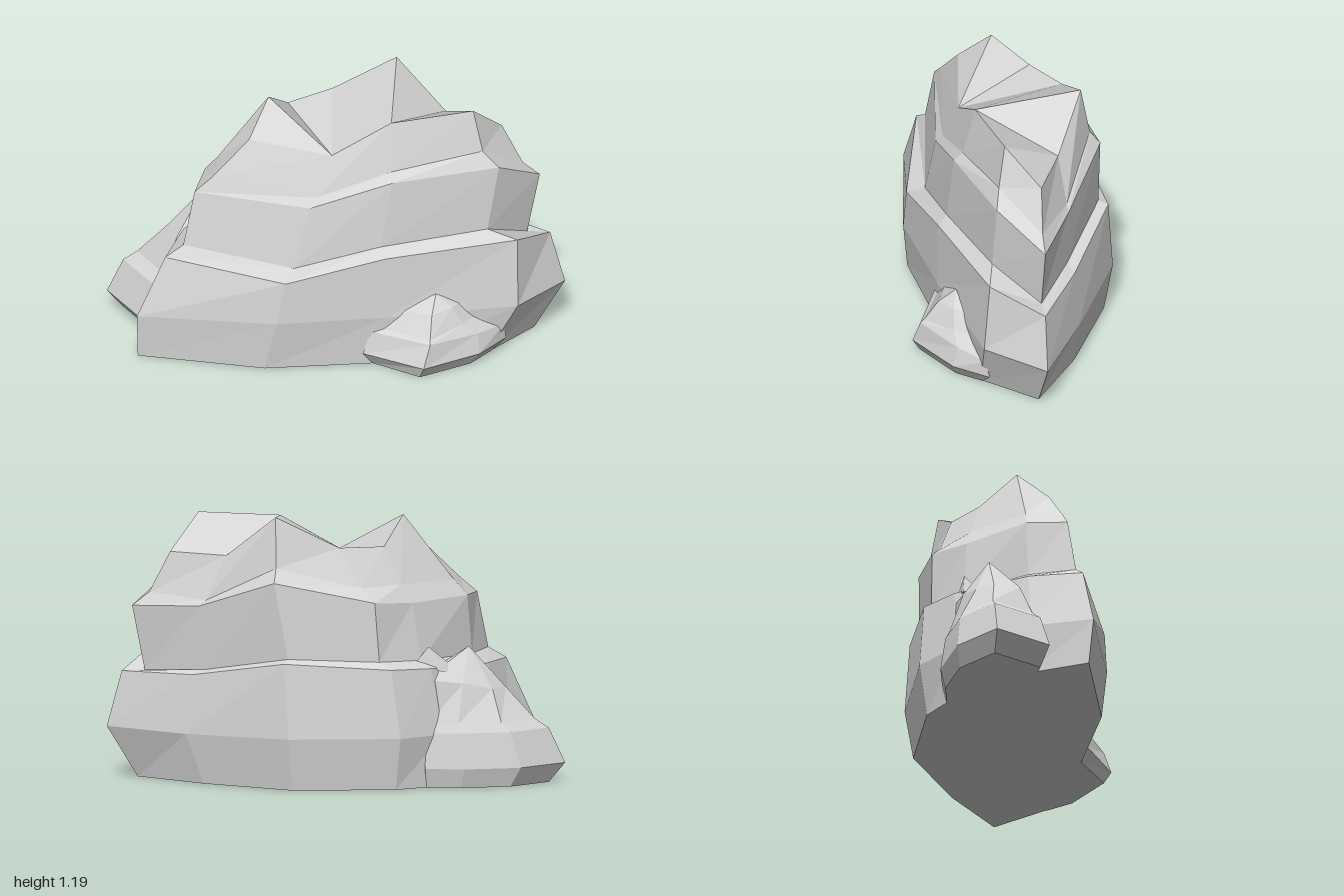
import * as THREE from 'three';

const stone = new THREE.MeshStandardMaterial({ color: 0xd6d6d6 });
stone.name = 'grey stone';
stone.flatShading = true;

// Skin a stack of rings (flat x,y,z lists, counter-clockwise seen from above).
// The top closes with the given cap triangles, or with a fan to a peak point.
function rock(name, rings, { cap, peak }) {
  const pts = rings.map((r) => Array.from({ length: r.length / 3 }, (_, i) => r.slice(i * 3, i * 3 + 3)));
  const n = pts[0].length;
  const out = [];
  const tri = (a, b, c) => out.push(...a, ...b, ...c);
  for (let k = 0; k < pts.length - 1; k++) {
    for (let i = 0; i < n; i++) {
      const j = (i + 1) % n;
      tri(pts[k][i], pts[k][j], pts[k + 1][j]);
      tri(pts[k][i], pts[k + 1][j], pts[k + 1][i]);
    }
  }
  const top = pts[pts.length - 1];
  const base = pts[0];
  for (let i = 1; i < n - 1; i++) tri(base[0], base[i + 1], base[i]);
  if (cap) cap.forEach(([a, b, c]) => tri(top[a], top[b], top[c]));
  else for (let i = 0; i < n; i++) tri(top[i], top[(i + 1) % n], peak);
  const geo = new THREE.BufferGeometry();
  geo.setAttribute('position', new THREE.Float32BufferAttribute(out, 3));
  geo.computeVertexNormals();
  const mesh = new THREE.Mesh(geo, stone);
  mesh.name = name;
  return mesh;
}

// Main boulder columns: left front, front, front, right front, right tip,
// right back, back, back, left back, left
const lowerTier = [
  [-0.88, 0, 0.2, -0.33, 0, 0.33, 0.2, 0, 0.3, 0.65, 0, 0.225, 0.86, 0, 0.015,
    0.58, 0, -0.21, 0.2, 0, -0.43, -0.25, 0, -0.43, -0.45, 0, -0.33, -0.74, 0, -0.05],
  [-0.885, 0.21, 0.22, -0.28, 0.24, 0.36, 0.2, 0.24, 0.32, 0.78, 0.24, 0.24, 0.995, 0.225, 0.005,
    0.66, 0.22, -0.21, 0.22, 0.23, -0.465, -0.27, 0.23, -0.465, -0.46, 0.23, -0.34, -0.76, 0.22, -0.04],
  [-0.76, 0.49, 0.19, -0.24, 0.44, 0.355, 0.2, 0.535, 0.315, 0.78, 0.56, 0.215, 0.93, 0.47, 0,
    0.63, 0.48, -0.2, 0.24, 0.56, -0.44, -0.23, 0.53, -0.44, -0.41, 0.52, -0.33, -0.67, 0.5, -0.04],
  [-0.68, 0.54, 0.17, -0.2, 0.475, 0.28, 0.18, 0.57, 0.27, 0.65, 0.595, 0.175, 0.83, 0.475, -0.005,
    0.57, 0.5, -0.18, 0.22, 0.575, -0.4, -0.18, 0.56, -0.4, -0.37, 0.55, -0.285, -0.6, 0.54, -0.03],
];
const upperTier = [
  [-0.63, 0.79, 0.14, -0.13, 0.76, 0.25, 0.23, 0.88, 0.25, 0.7, 0.9, 0.165, 0.885, 0.76, -0.01,
    0.6, 0.78, -0.18, 0.28, 0.91, -0.395, -0.16, 0.82, -0.395, -0.33, 0.8, -0.265, -0.58, 0.8, -0.035],
  [-0.55, 0.86, 0.13, -0.1, 0.8, 0.225, 0.23, 0.915, 0.21, 0.63, 0.97, 0.14, 0.81, 0.82, -0.015,
    0.57, 0.805, -0.178, 0.27, 0.97, -0.35, -0.1, 0.88, -0.35, -0.28, 0.88, -0.24, -0.52, 0.87, -0.03],
  [-0.39, 1.02, 0.09, -0.03, 0.98, 0.17, 0.23, 1.13, 0.155, 0.59, 1.155, 0.105, 0.72, 1.0, -0.03,
    0.48, 1.0, -0.16, 0.27, 1.19, -0.31, -0.01, 1.05, -0.29, -0.21, 1.04, -0.19, -0.3, 1.16, -0.04],
];
// Hollow crown between the peaks
const crown = [[0, 1, 9], [9, 1, 8], [8, 1, 7], [7, 1, 2], [7, 2, 6], [6, 2, 5], [5, 2, 3], [3, 4, 5]];

// Small front stone columns: left, front, front right, right, buried back
const frontRings = [
  [0.14, 0, 0.3, 0.345, 0, 0.43, 0.57, 0, 0.32, 0.66, 0, 0.22, 0.4, 0, 0.15],
  [0.1, 0.06, 0.32, 0.36, 0.06, 0.465, 0.61, 0.06, 0.34, 0.73, 0.06, 0.205, 0.4, 0.06, 0.15],
  [0.13, 0.165, 0.31, 0.39, 0.165, 0.437, 0.6, 0.15, 0.32, 0.72, 0.135, 0.215, 0.4, 0.16, 0.16],
  [0.16, 0.18, 0.3, 0.39, 0.18, 0.42, 0.54, 0.2, 0.32, 0.61, 0.21, 0.23, 0.4, 0.2, 0.18],
  [0.25, 0.265, 0.29, 0.4, 0.27, 0.36, 0.49, 0.28, 0.31, 0.53, 0.28, 0.26, 0.4, 0.28, 0.22],
];

// Side stone: one outline shrunk at each height, then a lopsided shoulder
const sideOutline = [[-1, -0.22], [-0.86, 0.03], [-0.6, 0], [-0.4, -0.15], [-0.38, -0.38], [-0.55, -0.41], [-0.8, -0.37]];
const sideRings = [[0, 0.87], [0.085, 1], [0.24, 0.87], [0.28, 0.76]].map(([y, s]) =>
  sideOutline.flatMap(([x, z]) => [-0.45 + (x + 0.45) * s, y, -0.23 + (z + 0.23) * s]));
const sideShoulder = [-0.74, 0.42, -0.2, -0.7, 0.43, -0.08, -0.56, 0.5, -0.1, -0.42, 0.5, -0.2,
  -0.38, 0.47, -0.33, -0.55, 0.45, -0.31, -0.68, 0.42, -0.27];

// Little spur beside the side stone's peak
const spurRings = [[-0.54, 0.49, -0.25, -0.37, 0.49, -0.2, -0.33, 0.53, -0.31, -0.47, 0.5, -0.3]];

export function createModel() {
  const group = new THREE.Group();
  group.name = 'rock formation';
  group.add(
    rock('mainBoulder', [...lowerTier, ...upperTier], { cap: crown }),
    rock('frontStone', frontRings, { peak: [0.42, 0.335, 0.285] }),
    rock('sideStone', [...sideRings, sideShoulder], { peak: [-0.58, 0.6, -0.2] }),
    rock('sideStoneSpur', spurRings, { peak: [-0.4, 0.61, -0.285] }),
  );
  return group;
}
